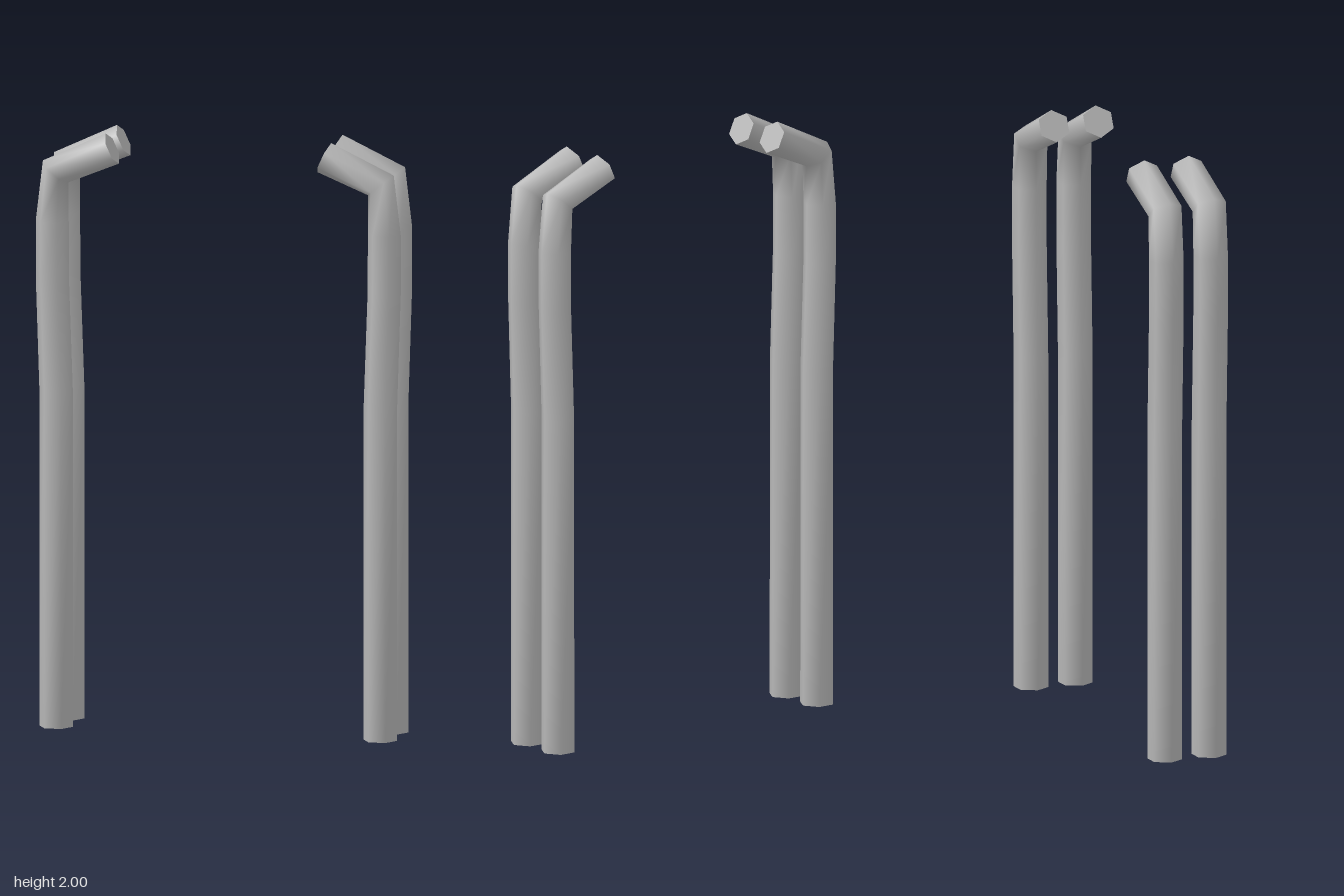
import * as THREE from 'three';

const SIDES = 6;
const HALF_DEPTH = 0.058; // hexagon corner radius along z

// Side outline of one bent rod: [outer x, outer y, inner x, inner y] per ring
const RINGS = [
  [0.609, 0, 0.494, 0],
  [0.609, 1.13, 0.495, 1.13],
  [0.621, 1.5, 0.508, 1.5],
  [0.621, 1.7, 0.509, 1.7],
  [0.597, 1.9, 0.509, 1.83],
  [0.384, 2.0, 0.338, 1.9],
];

function ringPoints([ox, oy, ix, iy]) {
  const points = [];
  for (let j = 0; j < SIDES; j++) {
    const a = (j / SIDES) * Math.PI * 2;
    const t = Math.cos(a) / 2;
    points.push(
      (ox + ix) / 2 + (ox - ix) * t,
      (oy + iy) / 2 + (oy - iy) * t,
      HALF_DEPTH * Math.sin(a)
    );
  }
  return points;
}

function buildGeometry(positions, index) {
  const geometry = new THREE.BufferGeometry();
  geometry.setAttribute('position', new THREE.Float32BufferAttribute(positions, 3));
  geometry.setIndex(index);
  geometry.computeVertexNormals();
  return geometry;
}

// Smooth hexagonal shaft swept through the rings
function shaftGeometry() {
  const index = [];
  for (let i = 0; i < RINGS.length - 1; i++) {
    for (let j = 0; j < SIDES; j++) {
      const a = i * SIDES + j;
      const b = i * SIDES + ((j + 1) % SIDES);
      const c = a + SIDES;
      const d = b + SIDES;
      index.push(a, c, b, b, c, d);
    }
  }
  return buildGeometry(RINGS.flatMap(ringPoints), index);
}

// Flat end face with its own normals
function capGeometry(ring, flip) {
  const index = [];
  for (let j = 1; j < SIDES - 1; j++) {
    if (flip) index.push(0, j + 1, j);
    else index.push(0, j, j + 1);
  }
  return buildGeometry(ringPoints(ring), index);
}

export function createModel() {
  const model = new THREE.Group();
  model.name = 'bentRods';

  const grey = new THREE.MeshStandardMaterial({ color: 0xb8b8b8 });
  grey.name = 'light grey';

  const parts = {
    shaft: shaftGeometry(),
    bottomCap: capGeometry(RINGS[0], false),
    topCap: capGeometry(RINGS[RINGS.length - 1], true),
  };

  // Two rods on each side, tips bent inward
  for (const [side, turn] of [['left', 0], ['right', Math.PI]]) {
    for (const [place, z] of [['Front', 0.08], ['Back', -0.08]]) {
      const rod = new THREE.Group();
      rod.name = `${side}${place}Rod`;
      for (const [name, geometry] of Object.entries(parts)) {
        const mesh = new THREE.Mesh(geometry, grey);
        mesh.name = name;
        rod.add(mesh);
      }
      rod.rotation.y = turn;
      rod.position.z = z;
      model.add(rod);
    }
  }
  return model;
}
